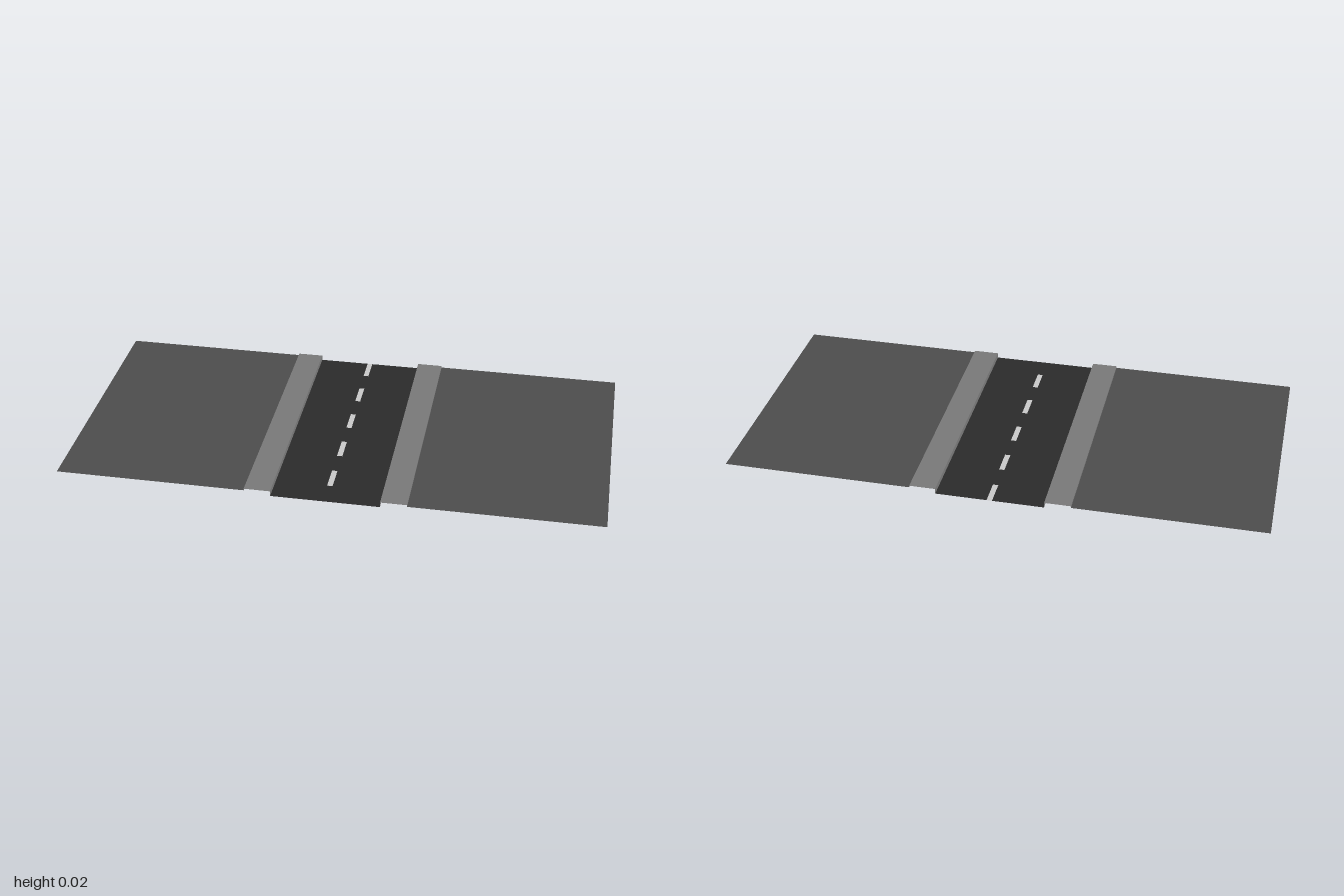
import * as THREE from 'three';

const LENGTH = 1, ROAD = 0.2, CURB = 0.297, EDGE = 1; // half-widths across x
const GROUND_Y = 0.013, WALK_Y = 0.02;

const paint = (color) => new THREE.MeshStandardMaterial({ color, roughness: 1, side: THREE.DoubleSide });
const asphalt = paint(0x2b2b2b);
const concrete = paint(0x7a7a7a);
const ground = paint(0x4e4e4e);
const white = paint(0xcccccc);

// Flat horizontal sheet, facing up
function sheet(name, x0, x1, z0, z1, y, material) {
  const geometry = new THREE.PlaneGeometry(x1 - x0, z1 - z0).rotateX(-Math.PI / 2);
  const mesh = new THREE.Mesh(geometry, material);
  mesh.name = name;
  mesh.position.set((x0 + x1) / 2, y, (z0 + z1) / 2);
  return mesh;
}

// Upright sheet along z, facing the given x direction
function wall(name, x, y0, y1, facing, material) {
  const geometry = new THREE.PlaneGeometry(LENGTH, y1 - y0).rotateY(facing * Math.PI / 2);
  const mesh = new THREE.Mesh(geometry, material);
  mesh.name = name;
  mesh.position.set(x, (y0 + y1) / 2, 0);
  return mesh;
}

export function createModel() {
  const model = new THREE.Group();
  model.name = 'roadSection';
  const h = LENGTH / 2, line = 0.01;

  for (const side of [-1, 1]) {
    const label = side > 0 ? 'left' : 'right';
    const across = (a, b) => (side > 0 ? [a, b] : [-b, -a]);

    // Lane, raised pavement open at its ends, and outer ground
    model.add(sheet(label + 'Lane', ...across(line, ROAD), -h, h, 0, asphalt));
    const walk = new THREE.Group();
    walk.name = label + 'Sidewalk';
    walk.add(
      sheet('sidewalkTop', ...across(ROAD, CURB), -h, h, WALK_Y, concrete),
      wall('innerCurb', side * ROAD, 0, WALK_Y, -side, concrete),
      wall('outerCurb', side * CURB, GROUND_Y, WALK_Y, side, concrete),
    );
    model.add(walk);
    model.add(sheet(label + 'Ground', ...across(CURB, EDGE), -h, h, GROUND_Y, ground));
  }

  // Centre strip: painted dashes alternate with asphalt gaps
  const count = 10, step = LENGTH / count;
  for (let i = 0; i < count; i++) {
    const z = -h + i * step, dash = i % 2 === 0;
    model.add(sheet(dash ? 'centreDash' : 'centreGap', -line, line, z, z + step, 0, dash ? white : asphalt));
  }
  return model;
}
